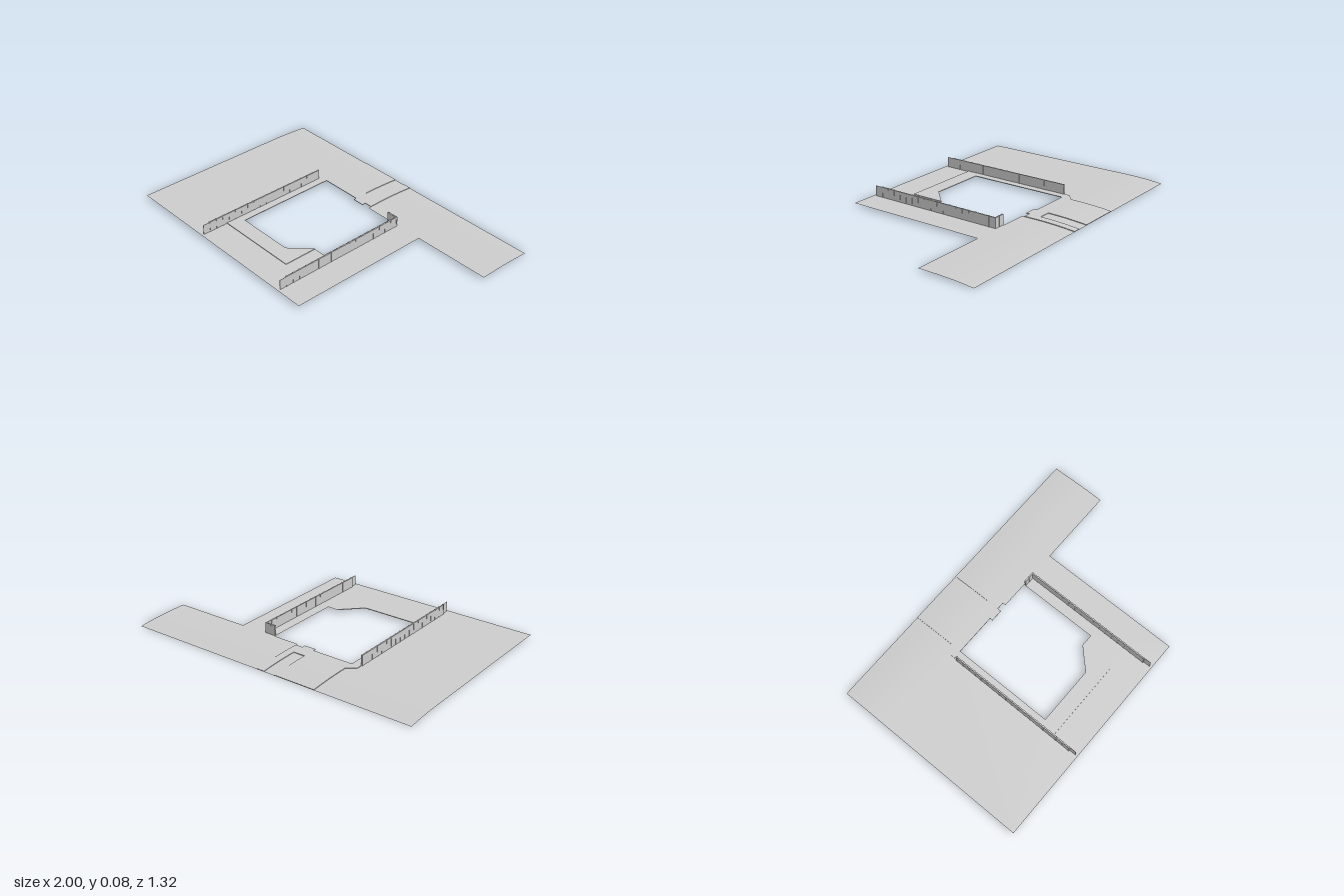
import * as THREE from 'three';

const GROUND = 0.013, STEP = 0.004, BEND = -0.4, BACK = -0.66, FRONT = 0.66, TOP = 0.081;
const mat = new THREE.MeshStandardMaterial({ color: 0xcccccc, side: THREE.DoubleSide });

// Points are [x, z] on the floor plan
const plan = (pts) => pts.map(([x, z]) => new THREE.Vector2(x, -z));

function add(parent, name, geometry) {
  const mesh = new THREE.Mesh(geometry, mat);
  mesh.name = name;
  parent.add(mesh);
  return mesh;
}

function box(parent, name, x0, x1, y0, y1, z0, z1) {
  const mesh = add(parent, name, new THREE.BoxGeometry(x1 - x0, y1 - y0, z1 - z0));
  mesh.position.set((x0 + x1) / 2, (y0 + y1) / 2, (z0 + z1) / 2);
}

// Ground falls away in a gentle curve towards the back edge
function bendDown(geometry) {
  const p = geometry.attributes.position;
  for (let i = 0; i < p.count; i++) {
    const t = Math.max(0, (BEND - p.getZ(i)) / (BEND - BACK));
    p.setY(i, p.getY(i) - GROUND * t * t);
  }
  geometry.computeVertexNormals();
  return geometry;
}

// Thin fence: panels with a slim post at every joint, running along z
function fence(name, x, z0, z1) {
  const g = new THREE.Group();
  g.name = name;
  const end = z1 - 0.045;
  box(g, 'fencePanel', x - 0.004, x + 0.004, GROUND, TOP - 0.001, z0, end);
  box(g, 'fenceEndPanel', x + 0.002, x + 0.004, GROUND, TOP - 0.001, end, z1);
  for (let z = z0 + 0.005; z < end; z += 0.0485) {
    box(g, 'fencePost', x - 0.0055, x + 0.0055, GROUND, TOP, z - 0.004, z + 0.004);
  }
  return g;
}

export function createModel() {
  const model = new THREE.Group();
  model.name = 'courtyardSite';

  // Flat ground with the building opening
  const ground = new THREE.Shape(plan([
    [-1, BEND], [-1, FRONT], [0.485, FRONT], [0.485, -0.29], [1, -0.29], [1, BEND],
  ]));
  ground.holes.push(new THREE.Path(plan([
    [-0.36, -0.305], [-0.08, -0.305], [-0.08, -0.285], [0, -0.285], [0, -0.31], [0.05, -0.31],
    [0.05, -0.29], [0.23, -0.29], [0.23, 0.245], [0.15, 0.245], [0.025, 0.37], [-0.36, 0.37],
  ])));
  add(model, 'ground', new THREE.ShapeGeometry(ground).rotateX(-Math.PI / 2).translate(0, GROUND, 0));

  // Sloping back strip of the ground
  const slope = new THREE.PlaneGeometry(2, BEND - BACK, 1, 8).rotateX(-Math.PI / 2);
  add(model, 'groundSlope', bendDown(slope.translate(0, GROUND, (BEND + BACK) / 2)));

  // Slightly raised paving beside the opening
  const paving = new THREE.Shape(plan([
    [-0.36, BEND], [-0.08, BEND], [-0.08, -0.39], [0, -0.39], [0, BEND], [0.05, BEND],
    [0.05, -0.31], [0, -0.31], [0, -0.285], [-0.08, -0.285], [-0.08, -0.305], [-0.36, -0.305],
    [-0.36, 0.37], [0.025, 0.37], [0.15, 0.245], [0.15, 0.47], [-0.415, 0.47],
    [-0.415, -0.33], [-0.36, -0.37],
  ]));
  add(model, 'paving', new THREE.ExtrudeGeometry(paving, { depth: STEP, bevelEnabled: false })
    .rotateX(-Math.PI / 2).translate(0, GROUND, 0));

  // Paved paths running down the slope
  for (const [x0, x1] of [[-0.36, -0.08], [0, 0.05]]) {
    const path = new THREE.BoxGeometry(x1 - x0, STEP, BEND - BACK, 1, 1, 8);
    path.translate((x0 + x1) / 2, GROUND + STEP / 2, (BEND + BACK) / 2);
    add(model, 'slopePath', bendDown(path));
  }

  // Fences on both sides, the left one with a short return to the opening
  model.add(fence('rightFence', -0.415, -0.285, 0.645));
  model.add(fence('leftFence', 0.302, -0.285, 0.645));
  box(model, 'fenceReturn', 0.232, 0.306, GROUND, TOP - 0.001, -0.284, -0.276);
  for (const x of [0.236, 0.267]) {
    box(model, 'returnPost', x - 0.004, x + 0.004, GROUND, TOP, -0.2855, -0.2745);
  }
  return model;
}
